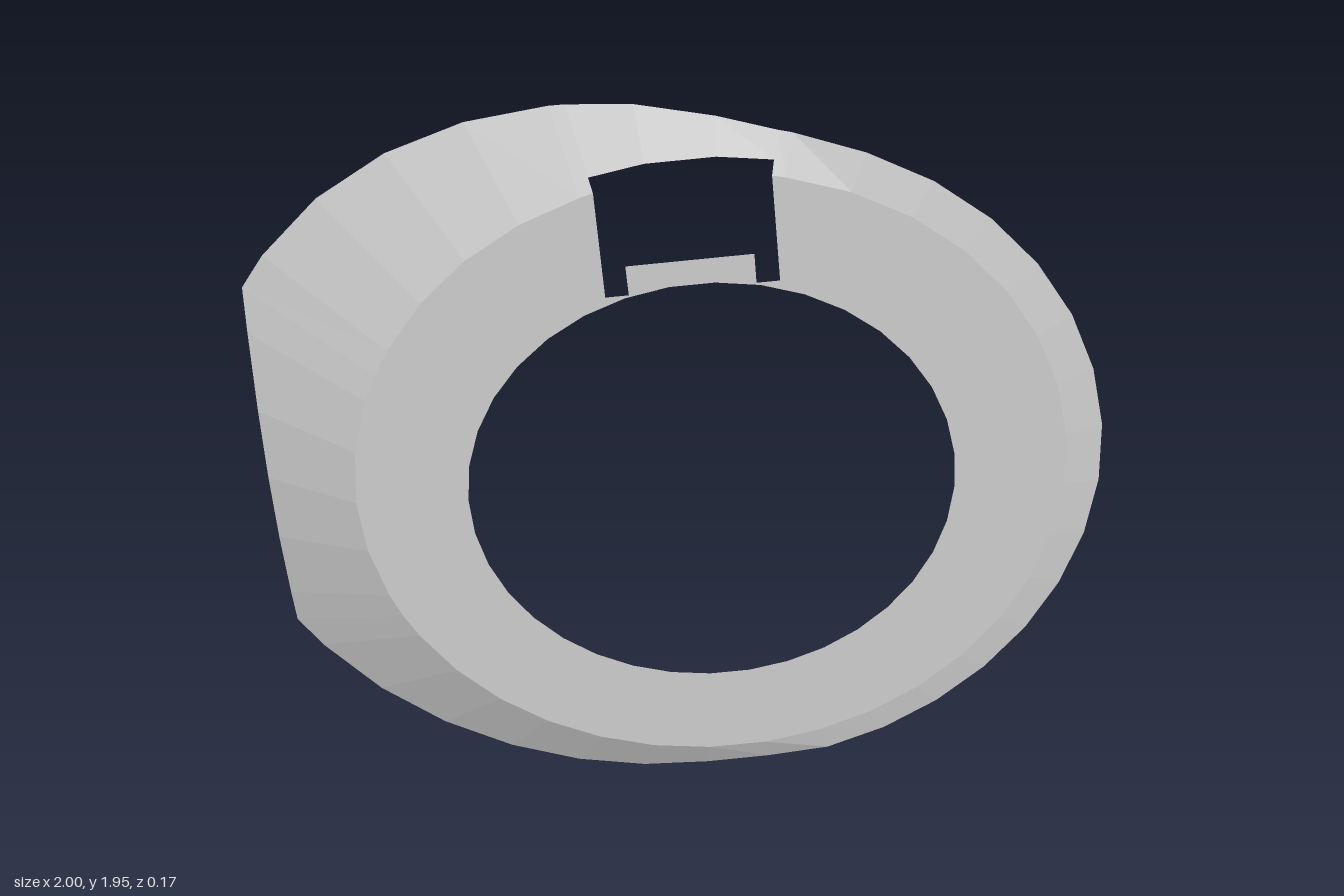
import * as THREE from 'three';

const CX = 0.067, CY = 0.974, FRONT = 0.0825; // ring centre and front plane
const R_HOLE = 0.58, R_FACE = 0.845, R_MIN = 0.933, R_WINDOW = 0.876;
const AXIS = 95, SPREAD = 13; // window direction and half angle, degrees
const rad = THREE.MathUtils.degToRad;
const polar = (deg, r) => new THREE.Vector2(CX + r * Math.cos(rad(deg)), CY + r * Math.sin(rad(deg)));

// Point in the tilted window frame: u across, v outward from the ring centre
function windowPoint(u, v) {
  const t = rad(AXIS - 90);
  return new THREE.Vector2(CX + u * Math.cos(t) - v * Math.sin(t), CY + u * Math.sin(t) + v * Math.cos(t));
}

// Outer rim: a cone cut by a slanted plane, a minimum radius and a straight side at x = -1
function rim(deg) {
  const c = Math.cos(rad(deg));
  let r = Math.max(R_MIN, 0.952 / (1 + 0.2114 * c));
  let drop = Math.max(0.017, 0.0524 - 0.1057 * r * c);
  if (r * c < -(1 + CX)) {
    r = (1 + CX) / -c;
    drop = (r - R_FACE) / 2;
  }
  return { r, drop };
}

// Facet angles, with extra ones at the window sides and the straight side's corners
const angles = [AXIS - SPREAD, AXIS + SPREAD, 155, 205];
for (let a = 0; a <= 360; a += 10) angles.push(a);
angles.sort((a, b) => a - b);

function faceGeometry() {
  const start = AXIS + SPREAD, end = 360 + AXIS - SPREAD;
  const outline = [...angles, ...angles.slice(1).map(a => a + 360)]
    .filter(a => a >= start && a <= end)
    .map(a => polar(a, R_FACE));
  // Window sides, two slots and the tab between them
  const notch = [[0.193, 0.567], [0.141, 0.567], [0.141, 0.64]];
  for (const [u, v] of notch) outline.push(windowPoint(u, v));
  for (const [u, v] of notch.slice().reverse()) outline.push(windowPoint(-u, v));
  const shape = new THREE.Shape(outline);
  const hole = [];
  for (let a = 0; a < 360; a += 10) hole.push(polar(-a, R_HOLE));
  shape.holes.push(new THREE.Path(hole));
  return new THREE.ShapeGeometry(shape).translate(0, 0, FRONT);
}

function skirtGeometry() {
  const positions = [], index = [];
  for (let i = 0; i < angles.length - 1; i++) {
    const a = angles[i], b = angles[i + 1];
    const inWindow = Math.abs((a + b) / 2 - AXIS) < SPREAD;
    const corners = [[a, 0], [a, 1], [b, 1], [b, 0]];
    const base = positions.length / 3;
    for (const [deg, outer] of corners) {
      const { r, drop } = rim(deg);
      const radius = outer ? r : inWindow ? R_WINDOW : R_FACE;
      const p = polar(deg, radius);
      positions.push(p.x, p.y, FRONT - drop * (radius - R_FACE) / (r - R_FACE));
    }
    index.push(base, base + 1, base + 2, base, base + 2, base + 3);
  }
  const geometry = new THREE.BufferGeometry();
  geometry.setAttribute('position', new THREE.Float32BufferAttribute(positions, 3));
  geometry.setIndex(index);
  geometry.computeVertexNormals();
  return geometry;
}

export function createModel() {
  const group = new THREE.Group();
  group.name = 'bezelRing';
  const material = new THREE.MeshStandardMaterial({ color: 0xcccccc, flatShading: true, side: THREE.DoubleSide });
  const face = new THREE.Mesh(faceGeometry(), material);
  face.name = 'flatFace';
  const skirt = new THREE.Mesh(skirtGeometry(), material);
  skirt.name = 'slopedSkirt';
  group.add(face, skirt);
  return group;
}
